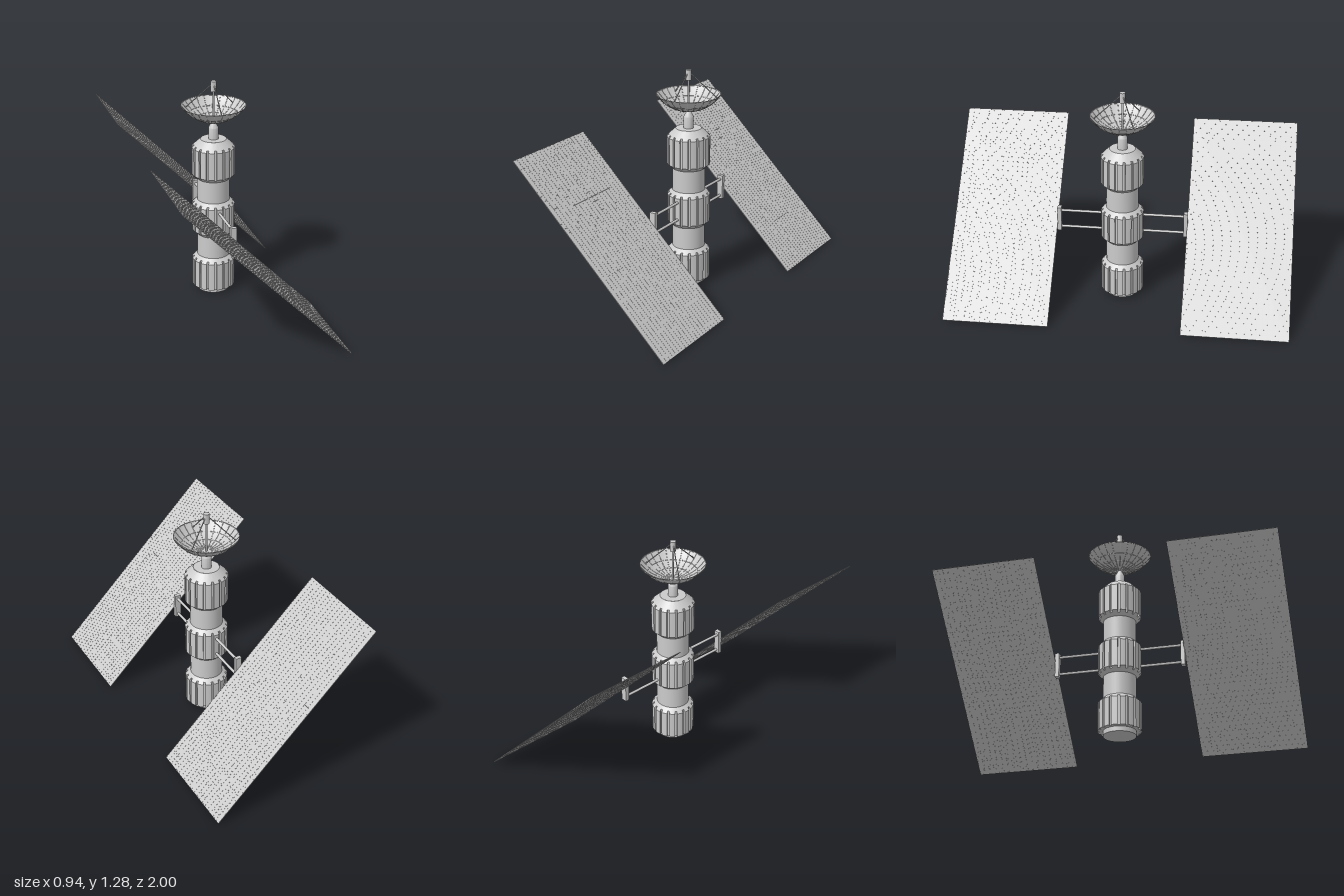
import * as THREE from 'three';
import { mergeGeometries, toCreasedNormals } from 'three/addons/utils/BufferGeometryUtils.js';

const grey = new THREE.MeshStandardMaterial({ color: 0xcccccc });
const greyDouble = new THREE.MeshStandardMaterial({ color: 0xcccccc, side: THREE.DoubleSide });

function add(parent, name, geometry, material = grey) {
  const mesh = new THREE.Mesh(geometry, material);
  mesh.name = name;
  parent.add(mesh);
  return mesh;
}

const lathe = (profile, segments = 32) => toCreasedNormals(
  new THREE.LatheGeometry(profile.map(([r, y]) => new THREE.Vector2(r, y)), segments), 0.5);

// Straight cylinder between two points
function rod(a, b, radius, sides = 8) {
  const dir = b.clone().sub(a);
  const g = new THREE.CylinderGeometry(radius, radius, dir.length(), sides);
  g.applyQuaternion(new THREE.Quaternion().setFromUnitVectors(new THREE.Vector3(0, 1, 0), dir.normalize()));
  return g.translate(...a.clone().add(b).multiplyScalar(0.5).toArray());
}

// Toothed band: a gear outline clipped by a list of [cap radius, y] levels
function ribbedBand(levels) {
  const teeth = 16, outer = 0.125, inner = 0.113, outline = [];
  for (let i = 0; i < teeth; i++) {
    for (const [f, r] of [[-0.36, outer], [-0.12, outer], [0.12, outer], [0.36, outer], [0.37, inner], [0.63, inner]]) {
      outline.push([(i + f) / teeth * Math.PI * 2, r]);
    }
  }
  const n = outline.length, positions = [], index = [];
  for (const [cap, y] of levels) {
    for (const [a, r] of outline) {
      const q = Math.min(r, cap);
      positions.push(Math.sin(a) * q, y, Math.cos(a) * q);
    }
  }
  for (let j = 0; j < levels.length - 1; j++) {
    for (let i = 0; i < n; i++) {
      const a = j * n + i, b = j * n + (i + 1) % n;
      index.push(a, b, b + n, a, b + n, a + n);
    }
  }
  const g = new THREE.BufferGeometry();
  g.setAttribute('position', new THREE.Float32BufferAttribute(positions, 3));
  g.setIndex(index);
  return toCreasedNormals(g, 0.45);
}

// Reflector bowl with ribs, rings, feed horn and its three struts
function buildAntenna() {
  const antenna = new THREE.Group();
  antenna.name = 'antenna';
  const R = 0.225, bottom = 1.045, rim = 0.187;
  const bowlY = r => bottom + R - Math.sqrt(R * R - r * r);
  const profile = [];
  for (let i = 0; i <= 8; i++) {
    const r = Math.max(rim * i / 8, 0.001);
    profile.push(new THREE.Vector2(r, bowlY(r)));
  }
  add(antenna, 'dish', new THREE.LatheGeometry(profile, 48), greyDouble);

  const ribs = [];
  const ribCount = 24;
  for (let i = 0; i < ribCount; i++) {
    const a = i / ribCount * Math.PI * 2;
    const points = [0.02, 0.06, 0.1, 0.145, rim].map(r =>
      new THREE.Vector3(Math.sin(a) * r, bowlY(r), Math.cos(a) * r));
    ribs.push(new THREE.TubeGeometry(new THREE.CatmullRomCurve3(points), 8, 0.0018, 5));
  }
  for (const r of [0.05, 0.095, 0.14, rim - 0.002]) {
    ribs.push(new THREE.TorusGeometry(r, 0.0018, 5, 48).rotateX(Math.PI / 2).translate(0, bowlY(r), 0));
  }
  add(antenna, 'dishRibs', mergeGeometries(ribs));

  add(antenna, 'feedMast', rod(new THREE.Vector3(0, bottom, 0), new THREE.Vector3(0, 1.24, 0), 0.006));
  add(antenna, 'feedHorn', lathe([[0, 1.225], [0.017, 1.225], [0.017, 1.285], [0, 1.285]], 16));
  for (let i = 0; i < 3; i++) {
    const a = i / 3 * Math.PI * 2, r = 0.165;
    const foot = new THREE.Vector3(Math.sin(a) * r, bowlY(r), Math.cos(a) * r);
    add(antenna, 'feedStrut', rod(foot, new THREE.Vector3(0, 1.275, 0), 0.003, 6));
  }
  return antenna;
}

// Solar wing on the +z side: two booms, a bracket and the tilted panel
function buildWing() {
  const wing = new THREE.Group();
  wing.name = 'solarWing';
  for (const y of [0.415, 0.52]) {
    add(wing, 'boom', rod(new THREE.Vector3(0, y, 0.09), new THREE.Vector3(0, y, 0.37), 0.008, 12));
  }
  add(wing, 'bracket', new THREE.BoxGeometry(0.036, 0.148, 0.024)).position.set(0, 0.469, 0.373);

  const panel = new THREE.Group();
  panel.name = 'solarPanel';
  const length = 1.326, width = 0.618;
  add(panel, 'panelSheet', new THREE.BoxGeometry(length, 0.003, width));
  // Raised cell grid on both faces
  const bars = [], columns = 44, rows = 20;
  for (let i = 0; i <= columns; i++) {
    bars.push(new THREE.BoxGeometry(0.003, 0.0044, width).translate((i / columns - 0.5) * (length - 0.003), 0, 0));
  }
  for (let i = 0; i <= rows; i++) {
    bars.push(new THREE.BoxGeometry(length, 0.0046, 0.003).translate(0, 0, (i / rows - 0.5) * (width - 0.003)));
  }
  add(panel, 'cellGrid', mergeGeometries(bars));
  panel.position.set(0, 0.474, 0.691);
  panel.rotation.z = -Math.PI / 4;
  wing.add(panel);
  return wing;
}

export function createModel() {
  const model = new THREE.Group();
  model.name = 'satellite';

  // Central hull
  add(model, 'hullCore', lathe([[0, 0], [0.095, 0], [0.095, 0.9], [0, 0.9]]));

  // Ribbed modules with chamfered ends
  add(model, 'lowerModule', ribbedBand([
    [0.09, 0.028], [0.125, 0.028], [0.125, 0.195], [0.113, 0.207], [0.095, 0.223]]));
  add(model, 'middleModule', ribbedBand([
    [0.095, 0.355], [0.113, 0.371], [0.125, 0.382], [0.125, 0.545], [0.113, 0.557], [0.095, 0.573]]));
  add(model, 'upperModule', ribbedBand([
    [0.095, 0.705], [0.113, 0.721], [0.125, 0.732], [0.125, 0.895], [0.113, 0.907], [0.075, 0.943]]));

  // Top cap and neck carrying the dish
  add(model, 'topCap', lathe([[0.075, 0.943], [0, 0.943]]));
  add(model, 'neck', lathe([[0.029, 0.94], [0.029, 1.01], [0.01, 1.045], [0, 1.047]], 24));
  model.add(buildAntenna());

  // Wings at front and back, with the panels sharing one tilt
  const frontWing = buildWing();
  const backWing = buildWing();
  backWing.name = 'backSolarWing';
  frontWing.name = 'frontSolarWing';
  backWing.traverse(part => { part.position.z *= -1; });
  for (const boom of backWing.children.filter(c => c.name === 'boom')) boom.geometry.rotateY(Math.PI);
  model.add(frontWing, backWing);

  return model;
}
